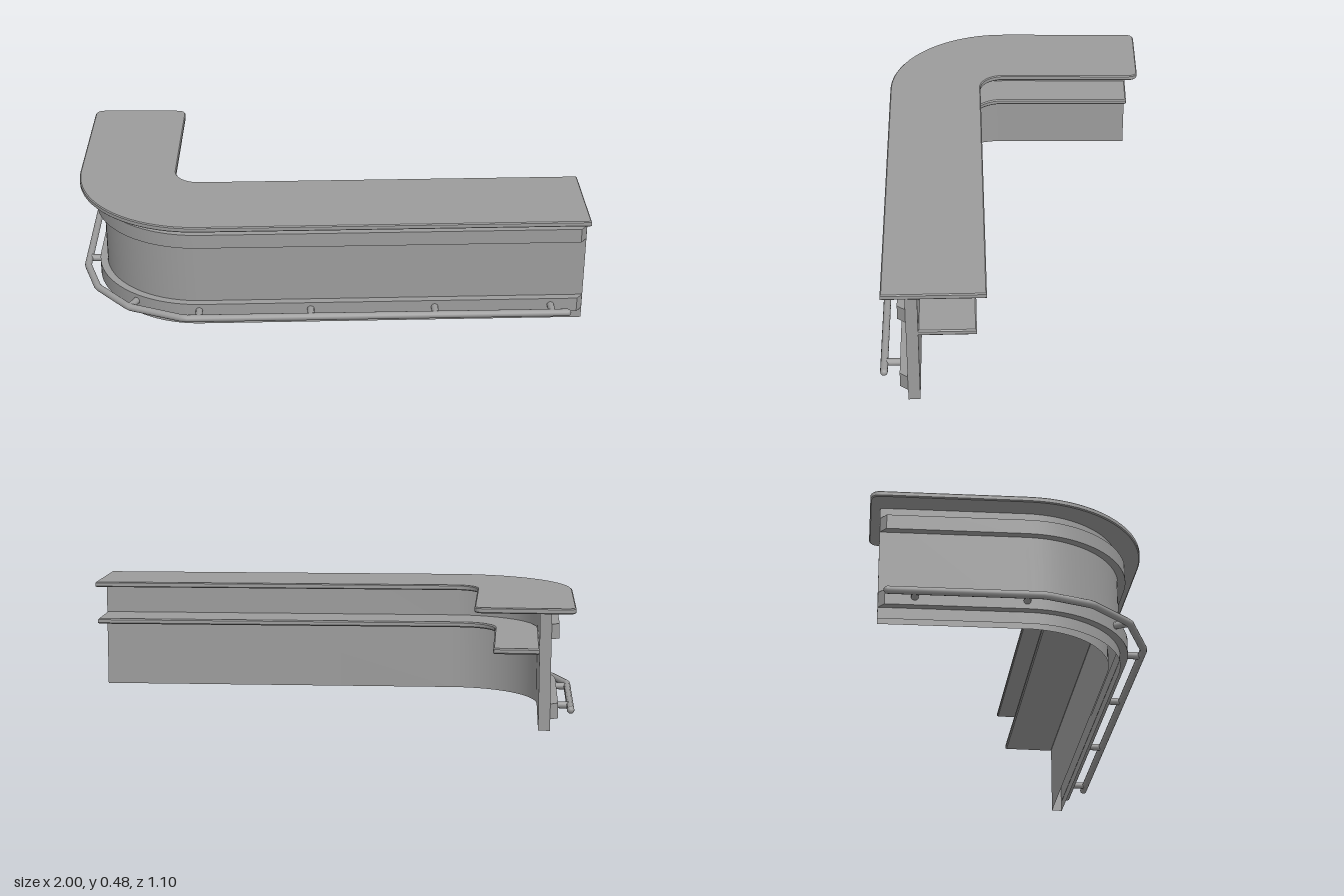
import * as THREE from 'three';
import { toCreasedNormals } from 'three/addons/utils/BufferGeometryUtils.js';

const FRONT = -Math.PI / 2;               // the bend starts at the front run...
const TURN = THREE.MathUtils.degToRad(92); // ...and turns slightly past square
const BEND_Y = -0.05;                      // plan coordinates: (x, -z)

const onBend = (cx, r, t) => {
  const a = FRONT - TURN * t;
  return new THREE.Vector2(cx + r * Math.cos(a), BEND_Y + r * Math.sin(a));
};
const legDir = new THREE.Vector2(Math.sin(FRONT - TURN), -Math.cos(FRONT - TURN));
const legPoint = (cx, r, len) => onBend(cx, r, 1).addScaledVector(legDir, len);

// L-shaped slab between two offsets from the bend centre
function band({ cx = -0.512, innerCx = cx, inner, outer, y0, y1, leg, corner = 0, chamfer = 0, bevel = 0, open = false }) {
  const steps = 20;
  const s = new THREE.Shape();
  const to = (p) => s.lineTo(p.x, p.y);
  s.moveTo(1, BEND_Y - inner);
  s.lineTo(1 - chamfer, BEND_Y - outer);
  for (let i = 0; i <= steps; i++) to(onBend(cx, outer, i / steps));
  const a = legPoint(cx, outer, leg - chamfer);
  const b = legPoint(innerCx, inner, leg);
  if (corner) {
    const across = b.clone().sub(a).normalize();
    const a2 = a.clone().addScaledVector(across, corner);
    const b1 = b.clone().addScaledVector(across, -corner);
    const b2 = b.clone().addScaledVector(legDir, -corner);
    to(a.clone().addScaledVector(legDir, -corner));
    s.quadraticCurveTo(a.x, a.y, a2.x, a2.y);
    to(b1);
    s.quadraticCurveTo(b.x, b.y, b2.x, b2.y);
  } else {
    to(a);
    to(b);
  }
  for (let i = steps; i >= 0; i--) to(onBend(innerCx, inner, i / steps));
  let g = new THREE.ExtrudeGeometry(s, {
    depth: y1 - y0 - 2 * bevel, curveSegments: 6, bevelEnabled: bevel > 0,
    bevelSize: bevel, bevelThickness: bevel, bevelOffset: -bevel, bevelSegments: 1,
  });
  if (open) {
    // Keep only the side faces, leaving top and bottom open
    const sides = g.attributes.position.array.slice(g.groups[1].start * 3);
    g = new THREE.BufferGeometry();
    g.setAttribute('position', new THREE.BufferAttribute(sides, 3));
  }
  g.rotateX(-Math.PI / 2);
  g.translate(0, y0 + bevel, 0);
  return toCreasedNormals(g, 0.3);
}

export function createModel() {
  const model = new THREE.Group();
  model.name = 'barCounter';
  const mat = new THREE.MeshStandardMaterial({ color: 0x9c9c9c });
  const openMat = new THREE.MeshStandardMaterial({ color: 0x9c9c9c, side: THREE.DoubleSide });
  const add = (name, geo, parent = model, material = mat) => {
    const m = new THREE.Mesh(geo, material);
    m.name = name;
    parent.add(m);
    return m;
  };

  // Worktop, hollow wall and inner shelf
  add('counterTop', band({ cx: -0.515, inner: 0.097, outer: 0.484, y0: 0.458, y1: 0.48, leg: 0.582, corner: 0.04, bevel: 0.004 }));
  add('frontWall', band({ inner: 0.35, outer: 0.395, y0: 0, y1: 0.46, leg: 0.544, open: true }), model, openMat);
  add('innerShelf', band({ innerCx: -0.55, inner: 0.135, outer: 0.352, y0: 0.295, y1: 0.318, leg: 0.544, corner: 0.01, bevel: 0.005 }));

  // Trim strips with angled ends
  add('upperTrim', band({ inner: 0.394, outer: 0.425, y0: 0.357, y1: 0.415, leg: 0.544, chamfer: 0.025 }));
  add('lowerTrim', band({ inner: 0.394, outer: 0.425, y0: 0.045, y1: 0.105, leg: 0.544, chamfer: 0.025 }));

  // Foot rail, bent in a few straight pieces
  const railR = 0.486, railX = -0.5, railY = 0.077, tube = 0.0145;
  const lift = (p) => new THREE.Vector3(p.x, railY, -p.y);
  const pts = [new THREE.Vector3(0.93, railY, railR - BEND_Y)];
  for (const t of [0.1, 0.41, 0.68, 0.92]) pts.push(lift(onBend(railX, railR + 0.003, t)));
  pts.push(lift(legPoint(railX, railR, 0.51)));
  const rail = new THREE.Group();
  rail.name = 'footRail';
  model.add(rail);
  const path = new THREE.CatmullRomCurve3(pts, false, 'catmullrom', 0);
  add('railTube', new THREE.TubeGeometry(path, 120, tube, 12), rail);
  for (const p of [pts[0], pts[pts.length - 1]]) {
    add('railEnd', new THREE.SphereGeometry(tube, 12, 8), rail).position.copy(p);
  }

  // Brackets between the lower trim and the rail
  const bracket = (from, to) => {
    const d = to.clone().sub(from);
    const m = add('railBracket', new THREE.CylinderGeometry(0.014, 0.014, d.length(), 12), rail);
    m.position.copy(from).addScaledVector(d, 0.5);
    m.quaternion.setFromUnitVectors(new THREE.Vector3(0, 1, 0), d.normalize());
  };
  for (const x of [0.87, 0.41, -0.08, -0.52]) {
    bracket(new THREE.Vector3(x, railY, 0.46), new THREE.Vector3(x, railY, railR - BEND_Y));
  }
  bracket(lift(onBend(-0.512, 0.41, 0.41)), lift(onBend(railX, railR, 0.41)));
  for (const len of [0, 0.41]) {
    bracket(lift(legPoint(-0.512, 0.41, len)), lift(legPoint(railX, railR, len)));
  }
  return model;
}
